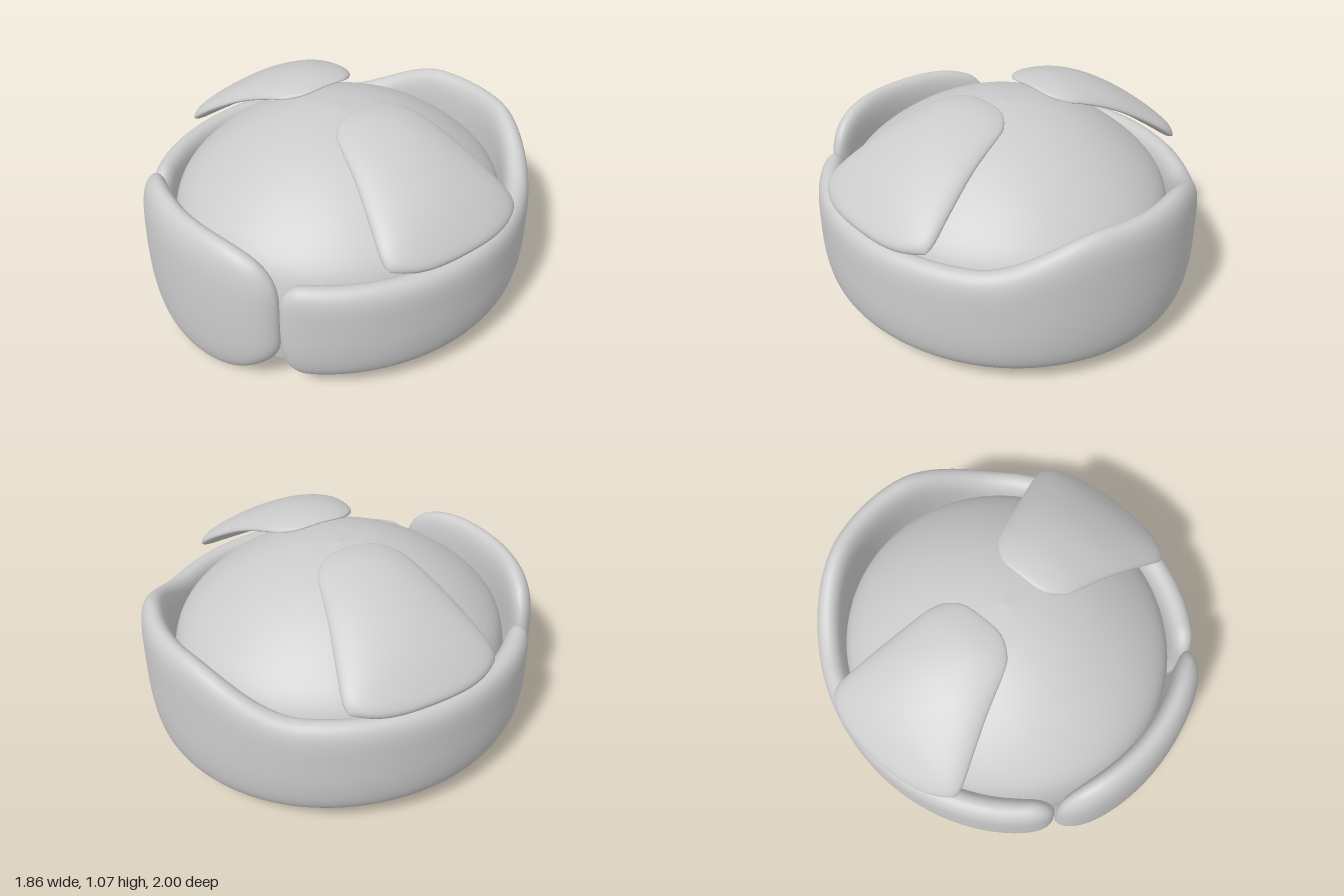
import * as THREE from 'three';
import { mergeVertices } from 'three/addons/utils/BufferGeometryUtils.js';

const material = new THREE.MeshStandardMaterial({ color: 0xcccccc, side: THREE.DoubleSide });

// Closed padded panel: surface(u, v, s) with u, v in -1..1 and s = +1 outer, -1 inner.
// taper(u, v) scales s to zero at the rim, where the two sheets are welded.
function pad(name, nu, nv, taper, surface) {
  const pos = [], idx = [];
  const ease = (i, n) => Math.sin((i / n - 0.5) * Math.PI);
  for (const side of [1, -1]) {
    const base = pos.length / 3;
    for (let i = 0; i <= nu; i++) {
      for (let j = 0; j <= nv; j++) {
        const u = ease(i, nu), v = ease(j, nv);
        pos.push(...surface(u, v, side * taper(u, v)));
        if (i === nu || j === nv) continue;
        const a = base + i * (nv + 1) + j, b = a + nv + 1;
        if (side > 0) idx.push(a, b, b + 1, a, b + 1, a + 1);
        else idx.push(a, b + 1, b, a, a + 1, b + 1);
      }
    }
  }
  let geo = new THREE.BufferGeometry();
  geo.setAttribute('position', new THREE.Float32BufferAttribute(pos, 3));
  geo.setIndex(idx);
  geo = mergeVertices(geo, 1e-5);
  geo.computeVertexNormals();
  const mesh = new THREE.Mesh(geo, material);
  mesh.name = name;
  return mesh;
}

// Rounded falloff towards the rim, sharper for larger p
const edge = (t, p) => Math.sqrt(Math.max(0, 1 - Math.abs(t) ** p));

// Open cap shell
function makeDome() {
  const profile = new THREE.SplineCurve([
    [0.8, 0.09], [0.825, 0.3], [0.81, 0.5], [0.755, 0.64], [0.6, 0.79],
    [0.4, 0.915], [0.2, 0.985], [0, 1.01],
  ].map(([r, y]) => new THREE.Vector2(r, y)));
  const points = profile.getPoints(40);
  points[40].x = 0;
  const dome = new THREE.Mesh(new THREE.LatheGeometry(points, 80), material);
  dome.scale.z = 1.045;
  dome.name = 'dome';
  return dome;
}

// Band around the sides and back, rising at the back, with rounded front ends
function makeBand() {
  const start = 0.645, half = Math.PI - start, r = 0.13;
  return pad('sideBand', 128, 24, (u, v) => edge(u, 36) * edge(v, 6), (u, v, s) => {
    const a = Math.PI + u * half;
    const rise = 1 - THREE.MathUtils.smoothstep(Math.abs(u * half), 0.24, 0.91);
    const d = Math.min(1, (1 - Math.abs(u)) * half / r);
    const inset = r * (1 - Math.sqrt(1 - (1 - d) ** 2));
    const bottom = 0.085 + inset, top = 0.63 + 0.18 * rise - inset;
    const y = THREE.MathUtils.lerp(bottom, top, (v + 1) / 2);
    const lean = -0.035 * Math.max(0, -v) ** 2 + 0.068 * s;
    return [(0.862 + lean) * Math.sin(a), y, (0.932 + lean) * Math.cos(a)];
  });
}

// Curved front plate with a rounded outline and a fuller bottom curve
function makeFrontPlate() {
  return pad('frontPlate', 48, 40, (u, v) => edge(u, 8) * edge(v, 5), (u, v, s) => {
    const c = v > 0 ? 0.17 : 0.2;
    const X = u * (1 - c * v ** 4), Y = v * (1 - c * u ** 4);
    const x = 0.535 * X + 0.005;
    const y = 0.4 + (Y > 0 ? 0.39 * Y : 0.4 * Y * (1 - 0.22 * X * X));
    return [x, y, 0.925 - 0.52 * x * x - 0.02 * Y * Y + 0.075 * s];
  });
}

// Flap arching over one side of the dome, widening and thickening outwards
function makeFlap(name, side) {
  const path = new THREE.SplineCurve([
    [0.135, 1.055], [0.28, 1.05], [0.45, 1.005], [0.6, 0.93], [0.75, 0.82], [0.9, 0.66],
  ].map(([x, y]) => new THREE.Vector2(x, y)));
  return pad(name, 40, 32, (u, v) => edge(u, u > 0 ? 16 : 4) * edge(v, 8), (u, v, s) => {
    const k = (u + 1) / 2;
    const t = THREE.MathUtils.lerp(0.09 * v ** 4, 1 - 0.13 * v * v, k);
    const p = path.getPoint(t), n = path.getTangent(t);
    const thick = (0.018 + 0.024 * t) * s;
    const droop = (0.02 + 0.06 * Math.sin(Math.PI * Math.min(1, t * 0.8))) * v * v;
    const width = 0.19 + 0.255 * t - 0.025 * Math.abs(u) ** 12;
    return [
      side * (p.x - n.y * thick),
      p.y + n.x * thick - droop,
      -side * v * width - 0.025,
    ];
  });
}

export function createModel() {
  const group = new THREE.Group();
  group.name = 'paddedHelmet';
  group.add(makeDome(), makeBand(), makeFrontPlate(), makeFlap('leftFlap', 1), makeFlap('rightFlap', -1));
  return group;
}
